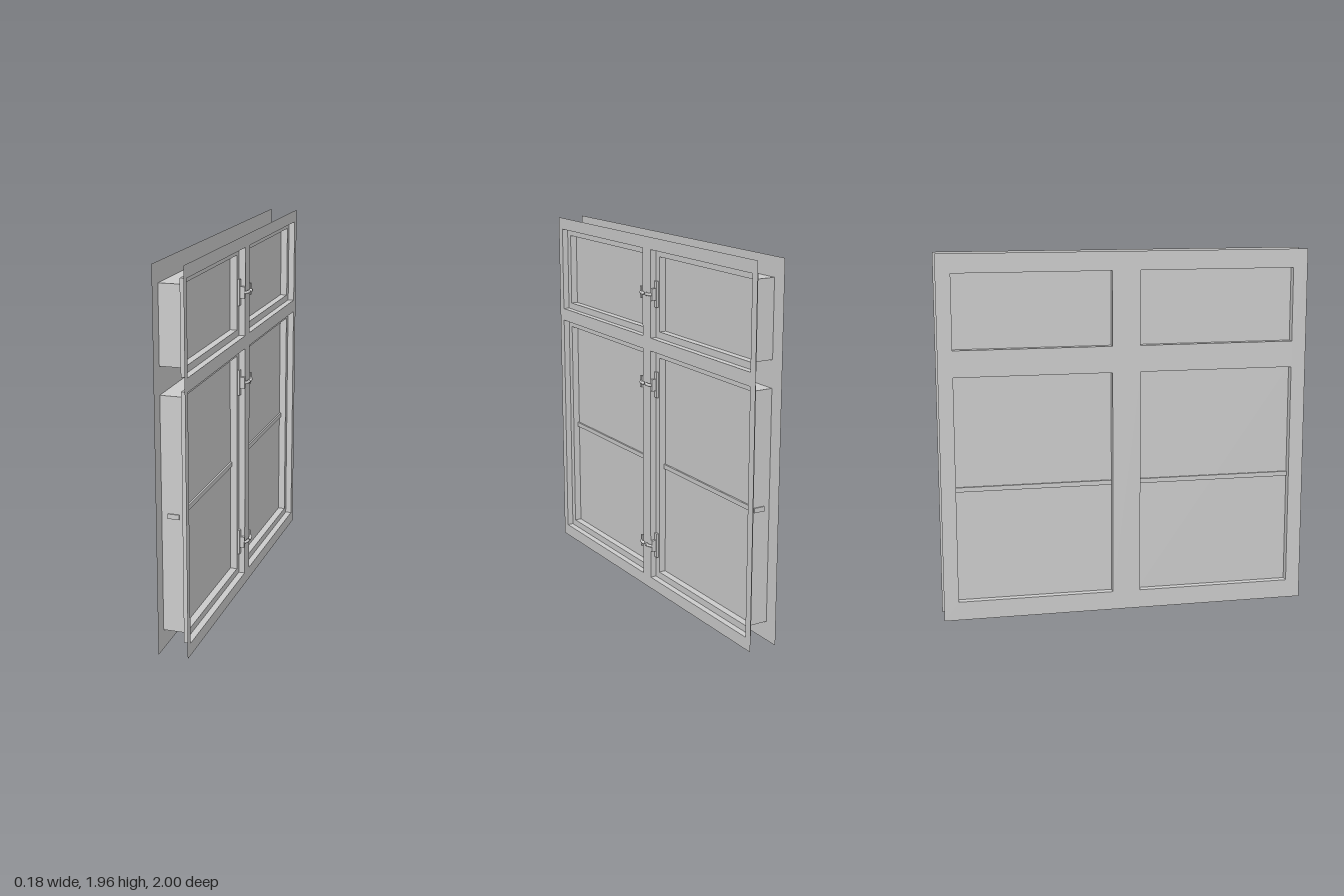
import * as THREE from 'three';

const mat = new THREE.MeshStandardMaterial({ color: 0xcccccc, side: THREE.DoubleSide });

// Depths along x, from the inner sheet to the outer sheet
const BACK = -0.092, LEDGE = 0.028, FRONT = 0.062;

// Window openings: y range of the outer rebate; the inner opening is inset from it
const STEP = 0.036;
const rows = [
  { name: 'lower', y0: 0.065, y1: 1.355, bar: 0.712, handles: [0.255, 1.17] },
  { name: 'upper', y0: 1.425, y1: 1.895, handles: [1.66] },
];
const Z0 = 0.04, Z1 = 0.957;

function add(parent, geometry, name, x = 0, y = 0, z = 0) {
  const mesh = new THREE.Mesh(geometry, mat);
  mesh.name = name;
  mesh.position.set(x, y, z);
  parent.add(mesh);
  return mesh;
}

function rectPoints(r) {
  return [[r.z0, r.y0], [r.z1, r.y0], [r.z1, r.y1], [r.z0, r.y1]].map(([z, y]) => new THREE.Vector2(-z, y));
}

const inset = (r, d) => ({ z0: r.z0 + d, z1: r.z1 - d, y0: r.y0 + d, y1: r.y1 - d });

// Flat sheet facing +x with rectangular holes
function sheet(parent, name, x, outline, holes) {
  const shape = new THREE.Shape(rectPoints(outline));
  holes.forEach(h => shape.holes.push(new THREE.Path(rectPoints(h))));
  add(parent, new THREE.ShapeGeometry(shape).rotateY(Math.PI / 2), name, x);
}

// Four thin walls around a rectangle, running from xa to xb
function walls(parent, name, r, xa, xb) {
  const group = new THREE.Group();
  group.name = name;
  const w = r.z1 - r.z0, h = r.y1 - r.y0, d = xb - xa;
  const x = (xa + xb) / 2, y = (r.y0 + r.y1) / 2, z = (r.z0 + r.z1) / 2;
  for (const s of [-1, 1]) {
    add(group, new THREE.PlaneGeometry(d, w).rotateX(-s * Math.PI / 2), 'horizontalWall', x, y + s * h / 2, z);
    add(group, new THREE.PlaneGeometry(d, h).rotateY(s > 0 ? 0 : Math.PI), 'verticalWall', x, y, z + s * w / 2);
  }
  parent.add(group);
}

// Window catch: plate on the ledge, boss, and a bent lever pointing to the centre post
function handle(y, s) {
  const group = new THREE.Group();
  group.name = 'handle';
  group.position.y = y;
  add(group, new THREE.BoxGeometry(0.012, 0.14, 0.024), 'handlePlate', LEDGE + 0.006, 0, s * 0.055);
  add(group, new THREE.BoxGeometry(0.036, 0.064, 0.016), 'handleBoss', 0.048, 0, s * 0.054);
  const path = new THREE.CatmullRomCurve3([
    [0.05, 0.052], [0.066, 0.05], [0.073, 0.04], [0.075, 0.028], [0.075, 0.018],
  ].map(([x, z]) => new THREE.Vector3(x, 0, s * z)));
  add(group, new THREE.TubeGeometry(path, 16, 0.008, 10), 'handleLever');
  add(group, new THREE.SphereGeometry(0.01, 12, 8), 'handleKnob', 0.075, 0, s * 0.019);
  return group;
}

export function createModel() {
  const model = new THREE.Group();
  model.name = 'window';
  const outline = { z0: -1, z1: 1, y0: 0, y1: 1.96 };
  const rebates = [];

  for (const row of rows) {
    for (const s of [-1, 1]) {
      const outer = { z0: s > 0 ? Z0 : -Z1, z1: s > 0 ? Z1 : -Z0, y0: row.y0, y1: row.y1 };
      const inner = inset(outer, STEP);
      const zc = (inner.z0 + inner.z1) / 2, w = inner.z1 - inner.z0;
      rebates.push(outer);

      const sash = new THREE.Group();
      sash.name = row.name + (s > 0 ? 'FrontSash' : 'BackSash');
      walls(sash, 'rebateWalls', outer, LEDGE, FRONT);
      sheet(sash, 'ledge', LEDGE, outer, [inner]);
      walls(sash, 'revealWalls', inner, BACK, LEDGE);
      add(sash, new THREE.BoxGeometry(0.04, inner.y1 - inner.y0, w), 'glass', -0.03, (inner.y0 + inner.y1) / 2, zc);
      // Glazing bar, with ends passing just through the reveal
      if (row.bar) add(sash, new THREE.BoxGeometry(0.06, 0.025, w + 0.012), 'glazingBar', -0.03, row.bar, zc);
      row.handles.forEach(y => sash.add(handle(y, s)));
      model.add(sash);
    }
  }

  // Inner and outer facing sheets
  sheet(model, 'outerSheet', FRONT, outline, rebates);
  sheet(model, 'innerSheet', BACK, outline, rebates.map(r => inset(r, STEP)));
  return model;
}
